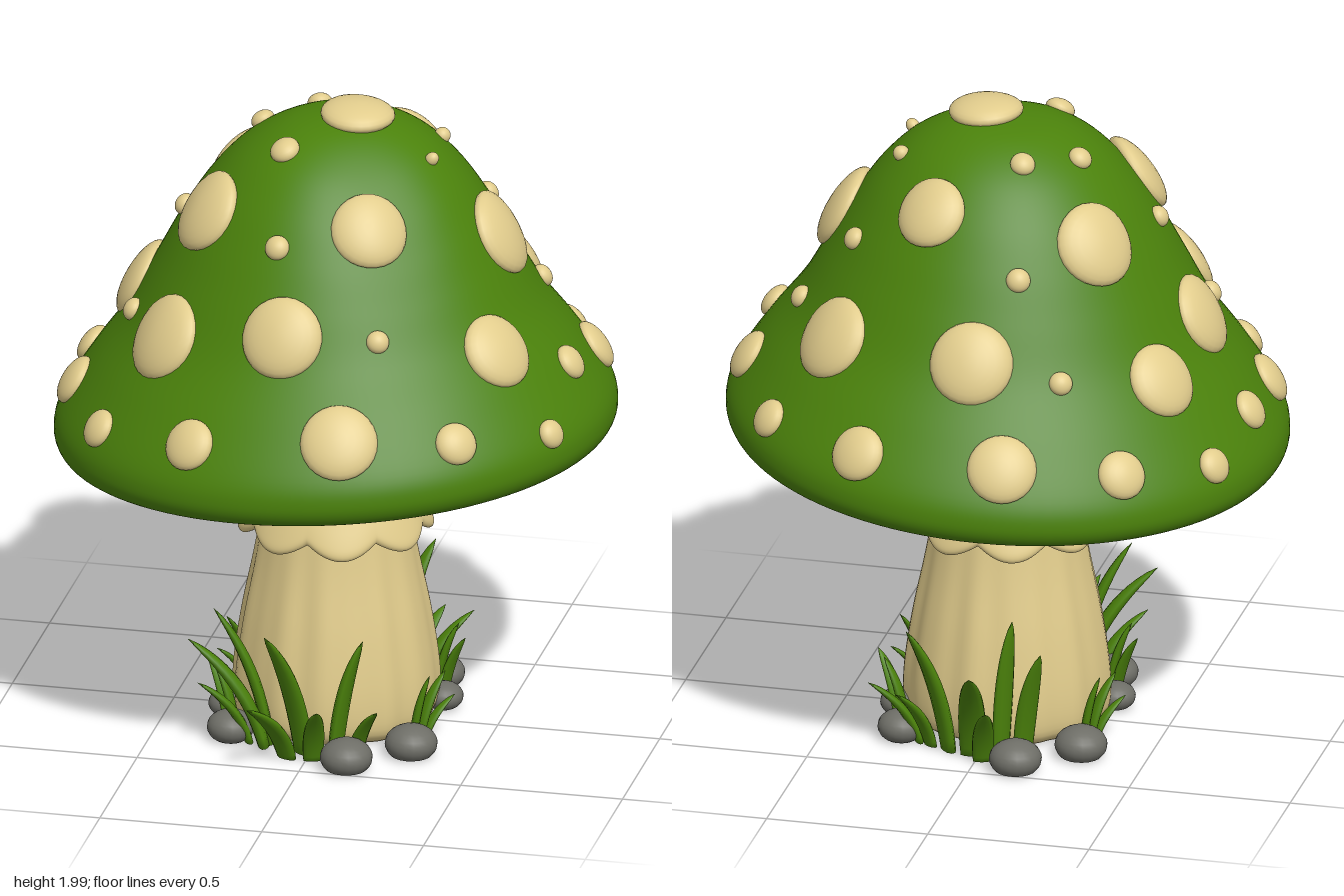
import * as THREE from 'three';
import { mergeVertices } from 'three/addons/utils/BufferGeometryUtils.js';

const material = (name, color) => new THREE.MeshStandardMaterial({ name, color });
const V2 = (a) => a.map(([r, y]) => new THREE.Vector2(r, y));
const curve = (a, n) => new THREE.SplineCurve(V2(a)).getPoints(n);
const clamp01 = (t) => Math.max(0, Math.min(1, t));

// Move every vertex by a rule, then weld and smooth
function deform(geo, rule) {
  const p = geo.attributes.position, v = new THREE.Vector3();
  for (let i = 0; i < p.count; i++) {
    rule(v.fromBufferAttribute(p, i));
    p.setXYZ(i, v.x, v.y, v.z);
  }
  geo.deleteAttribute('uv');
  geo.deleteAttribute('normal');
  const out = mergeVertices(geo, 1e-5);
  out.computeVertexNormals();
  return out;
}

// The cap leans towards -x and -z, and has a soft dent on one shoulder
const lean = (x, z) => 0.06 * x + 0.02 * z;
const dent = (x, z) => -0.045 * Math.exp(-((x - 0.22) ** 2 + (z - 0.33) ** 2) / 0.04);

// Outer cap profile, rim to apex
const capProfile = curve([[0.75, 0.915], [0.79, 0.897], [0.832, 0.918], [0.85, 0.97], [0.83, 1.05],
  [0.74, 1.19], [0.63, 1.34], [0.545, 1.495], [0.47, 1.63], [0.385, 1.757], [0.28, 1.863],
  [0.15, 1.93], [0, 1.95]], 72);
capProfile[capProfile.length - 1].x = 0;

function capHeight(x, z) {
  const r = Math.hypot(x, z);
  let y = 0.95;
  for (let i = capProfile.length - 1; i > 0; i--) {
    const a = capProfile[i], b = capProfile[i - 1];
    if (r <= b.x) {
      y = a.y + (b.y - a.y) * (r - a.x) / (b.x - a.x);
      break;
    }
  }
  return y + lean(x, z) + dent(x, z);
}

// Raised spots: x, z, radius
const SPOTS = [
  [-0.17, -0.76, 0.105], [0.28, -0.745, 0.085], [-0.505, -0.615, 0.075], [-0.035, -0.6, 0.127],
  [-0.3, -0.55, 0.036], [-0.145, -0.455, 0.037], [-0.56, -0.335, 0.115], [-0.34, -0.27, 0.13],
  [0.15, -0.36, 0.11], [0.43, -0.46, 0.13], [0.605, -0.54, 0.06], [0.405, -0.28, 0.035],
  [-0.1, -0.22, 0.038], [0.585, -0.22, 0.036], [0.75, -0.215, 0.08], [-0.73, -0.37, 0.055],
  [-0.77, -0.085, 0.062], [-0.6, -0.005, 0.127], [-0.245, -0.09, 0.037], [-0.45, 0.065, 0.034],
  [0.07, 0.01, 0.113], [0.505, -0.005, 0.135], [0.74, 0.08, 0.055], [0.295, -0.135, 0.025],
].concat([
  [-0.76, 0.195, 0.08], [-0.575, 0.215, 0.036], [-0.34, 0.25, 0.13], [-0.11, 0.205, 0.046],
  [-0.43, 0.44, 0.135], [-0.61, 0.525, 0.06], [-0.08, 0.44, 0.038], [-0.035, 0.58, 0.125],
  [0.185, 0.355, 0.117], [0.57, 0.32, 0.117], [0.745, 0.36, 0.045], [0.25, 0.53, 0.035],
  [0.51, 0.61, 0.065], [-0.285, 0.73, 0.08], [0.18, 0.745, 0.117], [0.31, 0.07, 0.02],
]);

function spotGeometry(x, z, R) {
  const r = Math.hypot(x, z), e = 0.02;
  const n = new THREE.Vector3(capHeight(x - e, z) - capHeight(x + e, z), 2 * e,
    capHeight(x, z - e) - capHeight(x, z + e)).normalize();
  const t = new THREE.Vector3(z / r, 0, -x / r);
  t.addScaledVector(n, -t.dot(n)).normalize();
  const m = new THREE.Vector3().crossVectors(t, n);
  const bend = Math.hypot(n.x, n.z) / (2 * r);
  const frame = new THREE.Matrix4().makeBasis(t, n, m).setPosition(x, capHeight(x, z), z);
  const thick = 0.02 + 0.2 * R;
  return deform(new THREE.SphereGeometry(1, 28, 14), (v) => {
    v.set(v.x * R, v.y * thick, v.z * R);
    v.y += 0.004 - v.x * v.x * bend;  // follow the curve of the cap
    v.applyMatrix4(frame);
  });
}

// Curved tapering blade from a base on the ground to a tip
function bladeGeometry([bx, bz, tx, ty, tz, w]) {
  const base = new THREE.Vector3(bx, 0, bz), tip = new THREE.Vector3(tx, ty, tz);
  const mid = new THREE.Vector3(bx + 0.2 * (tx - bx), ty * 0.6, bz + 0.2 * (tz - bz));
  const path = new THREE.QuadraticBezierCurve3(base, mid, tip);
  const side = new THREE.Vector3(tz - bz, 0, bx - tx).normalize();
  return deform(new THREE.CylinderGeometry(1, 1, 1, 10, 12), (v) => {
    const t = v.y + 0.5;
    const width = w * Math.pow(1 - t, 0.75) * (0.8 + 1.3 * t) + 0.0008;
    const flat = new THREE.Vector3().crossVectors(side, path.getTangent(t));
    const a = v.x * width, b = v.z * width * 0.5;
    v.copy(path.getPoint(t)).addScaledVector(side, a).addScaledVector(flat, b);
    v.y = Math.max(v.y, 0);
  });
}

// Grass blades: base x, base z, tip x, y, z, half width
const FRONT_BLADES = [
  [-0.02, 0.35, -0.11, 0.42, 0.49, 0.046], [0.08, 0.36, 0.17, 0.39, 0.38, 0.044],
  [-0.15, 0.32, -0.37, 0.35, 0.38, 0.044], [-0.14, 0.29, -0.3, 0.44, 0.34, 0.038],
  [-0.06, 0.4, -0.14, 0.22, 0.59, 0.04], [0.02, 0.4, 0.06, 0.2, 0.52, 0.036],
  [0.14, 0.36, 0.23, 0.19, 0.45, 0.03],
];
const BACK_BLADES = [
  [0.02, -0.36, -0.02, 0.33, -0.57, 0.046], [0.1, -0.34, 0.21, 0.41, -0.43, 0.046],
  [-0.06, -0.33, -0.1, 0.44, -0.35, 0.042], [-0.13, -0.34, -0.2, 0.36, -0.4, 0.04],
  [-0.02, -0.4, -0.06, 0.2, -0.52, 0.036], [0.16, -0.32, 0.24, 0.2, -0.43, 0.032],
];
// Side tufts and stones repeat turned by 180 degrees
const SIDE_BLADES = [
  [0.2, -0.3, 0.34, 0.21, -0.38, 0.03], [0.3, 0.2, 0.37, 0.22, 0.14, 0.028],
  [0.29, 0.23, 0.34, 0.23, 0.22, 0.028], [0.31, 0.16, 0.39, 0.13, 0.1, 0.022],
  [0.29, -0.17, 0.37, 0.22, -0.13, 0.028], [0.26, -0.22, 0.33, 0.23, -0.22, 0.028],
];
const STONES = [[0.135, 0.45, 0.08], [0.3, 0.295, 0.08], [0.31, -0.1, 0.06], [0.26, -0.285, 0.072]];

export function createModel() {
  const green = material('leafGreen', 0x4b820b);
  const cream = material('cream', 0xe1cc8c);
  const grey = material('stoneGrey', 0x6e6e67);
  const model = new THREE.Group();
  model.name = 'mushroom';
  const add = (name, geo, mat, parent = model) => {
    const mesh = new THREE.Mesh(geo, mat);
    mesh.name = name;
    parent.add(mesh);
    return mesh;
  };
  const group = (name) => {
    const g = new THREE.Group();
    g.name = name;
    model.add(g);
    return g;
  };

  // Cap
  add('cap', deform(new THREE.LatheGeometry(capProfile, 96), (v) => {
    v.y += lean(v.x, v.z) + dent(v.x, v.z);
  }), green);

  // Gills: a shallow hollow disc with slightly swirling ridges
  const gillProfile = curve([[0.12, 1.04], [0.25, 1.025], [0.45, 0.985], [0.62, 0.945], [0.72, 0.925], [0.78, 0.915]], 16);
  add('gills', deform(new THREE.LatheGeometry(gillProfile, 448), (v) => {
    const r = Math.hypot(v.x, v.z), a = Math.atan2(v.x, v.z);
    const fade = clamp01((0.78 - r) / 0.1) * Math.min(1, r / 0.5);
    v.y += 0.014 * fade * (1 - 2 * Math.abs(Math.sin(28 * (a + 0.25 * r))));
    v.y += lean(v.x, v.z);
  }), cream);

  // Cap spots
  const spots = group('capSpots');
  for (const [x, z, R] of SPOTS) add('spot', spotGeometry(x, z, R), cream, spots);

  // Stem, lightly fluted below the skirt
  const stemProfile = [new THREE.Vector2(0, 0), ...curve([[0.27, 0], [0.305, 0.04], [0.308, 0.15], [0.285, 0.32],
    [0.25, 0.5], [0.23, 0.62], [0.205, 0.8], [0.192, 0.92], [0.197, 1.0], [0.215, 1.07]], 40)];
  add('stem', deform(new THREE.LatheGeometry(stemProfile, 96), (v) => {
    const a = Math.atan2(v.x, v.z);
    const fade = clamp01((0.8 - v.y) / 0.4);
    const k = 1 + fade * (0.014 * Math.sin(11 * a) + 0.008 * Math.sin(17 * a + 1));
    v.x *= k;
    v.z *= k;
  }), cream);

  // Skirt with a scalloped, rounded hem
  const skirtProfile = curve([[0.21, 0.68], [0.245, 0.65], [0.265, 0.622], [0.28, 0.618], [0.287, 0.635], [0.276, 0.67],
    [0.248, 0.735], [0.222, 0.8], [0.205, 0.86], [0.188, 0.94]], 40);
  add('skirt', deform(new THREE.LatheGeometry(skirtProfile, 128), (v) => {
    const a = Math.atan2(v.x, v.z), r = Math.hypot(v.x, v.z);
    const hem = clamp01((0.8 - v.y) / 0.17) * clamp01((r - 0.2) / 0.05);
    const lobe = Math.abs(Math.sin(4 * a + 0.4)) - 0.55;
    v.y -= 0.042 * hem * lobe;
    const k = 1 + 0.07 * hem * lobe;
    v.x *= k;
    v.z *= k;
  }), cream);

  // Grass and stones around the foot
  const grass = group('grass'), stones = group('stones');
  for (const blade of [...FRONT_BLADES, ...BACK_BLADES]) add('grassBlade', bladeGeometry(blade), green, grass);
  for (const s of [1, -1]) {
    for (const [bx, bz, tx, ty, tz, w] of SIDE_BLADES) {
      add('sideBlade', bladeGeometry([s * bx, s * bz, s * tx, ty, s * tz, w]), green, grass);
    }
    for (const [x, z, r] of STONES) {
      const stone = add('stone', deform(new THREE.SphereGeometry(r, 20, 14), (v) => {
        v.y = Math.max(v.y * 0.72, -0.04) + 0.04;
      }), grey, stones);
      stone.position.set(s * x, 0, s * z);
    }
  }
  return model;
}
